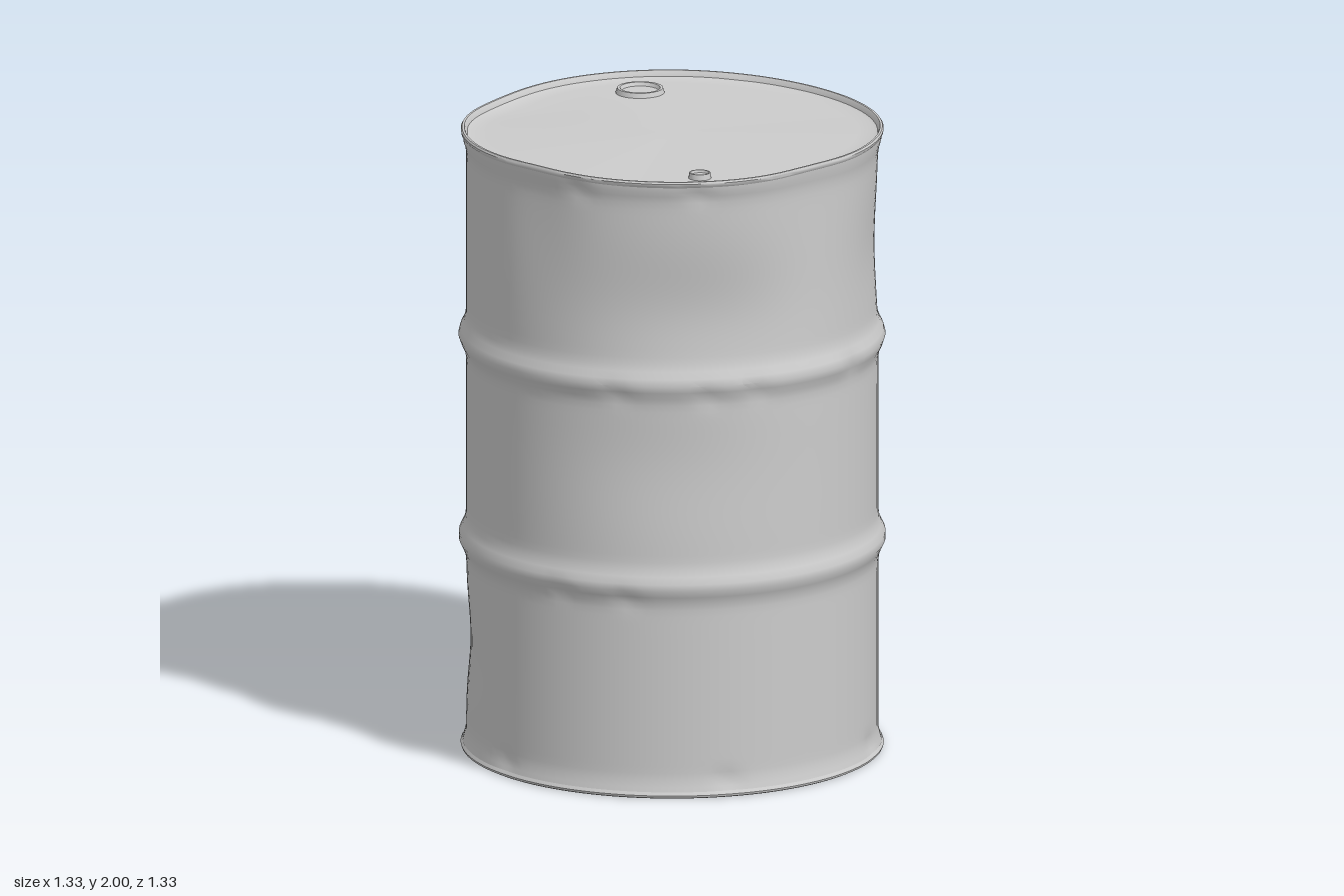
import * as THREE from 'three';
import { toCreasedNormals } from 'three/addons/utils/BufferGeometryUtils.js';

const steel = new THREE.MeshStandardMaterial({ color: 0xcccccc });

// Wall dents: angle (0 = front, positive to +x), height, angular width, vertical width, depth
const dents = [
  [0.2, 1.54, 0.55, 0.2, 0.032],
  [0.05, 1.08, 0.5, 0.22, 0.018],
  [1.5, 1.62, 0.35, 0.2, 0.016],
  [-1.65, 0.36, 0.4, 0.14, 0.018],
  [-0.65, 1.92, 0.22, 0.3, 0.016],
  [0.8, 1.92, 0.22, 0.35, 0.018],
  [2.4, 1.6, 0.4, 0.2, 0.008],
];
// Small nicks along the ribs and the lower edge
const nicks = [
  [-0.5, 0.65], [-0.15, 0.64], [0.25, 1.29], [0.5, 1.3], [-0.2, 1.3], [1.1, 1.32],
  [-0.85, 0.05], [0.35, 0.05], [1.35, 0.05], [1.75, 0.05], [2.6, 0.05], [-2.3, 0.05],
  [-0.4, 1.95], [0.2, 1.95], [2.9, 1.95], [-1.5, 1.95],
];
nicks.forEach(([a, y]) => dents.push([a, y, 0.06, 0.03, 0.008]));

const bump = (d, w) => Math.exp(-(d * d) / (w * w));

function dentDepth(angle, y) {
  let depth = 0;
  for (const [a, h, aw, hw, amount] of dents) {
    const da = Math.atan2(Math.sin(angle - a), Math.cos(angle - a));
    depth += amount * bump(da, aw) * bump(y - h, hw);
  }
  return depth;
}

// Presses the dents into the wall and buckles the lid
function batter(geometry) {
  const p = geometry.attributes.position;
  for (let i = 0; i < p.count; i++) {
    const x = p.getX(i), y = p.getY(i), z = p.getZ(i);
    const r = Math.hypot(x, z);
    if (r < 1e-5) continue;
    const angle = Math.atan2(x, z);
    const k = 1 - (dentDepth(angle, y) / 0.65) * Math.pow(r / 0.65, 3);
    let newY = y;
    if (y > 1.95) {
      newY -= 0.012 * bump(Math.hypot(x + 0.48, z + 0.25), 0.16);
      newY -= 0.004 * (1 + Math.sin(3 * angle + 1)) * r / 0.65;
    }
    p.setXYZ(i, x * k, newY, z * k);
  }
  return toCreasedNormals(geometry, 0.7);
}

function lathe(name, points, segments, material = steel) {
  const geo = new THREE.LatheGeometry(points.map(([r, y]) => new THREE.Vector2(r, y)), segments);
  const mesh = new THREE.Mesh(geo, material);
  mesh.name = name;
  return mesh;
}

// Wall radius at a height: two rolled ribs and flared ends
function wallRadius(y) {
  const rib = (h) => 0.024 * bump(y - h, 0.038);
  return 0.643 + rib(0.68) + rib(1.33) + 0.012 * (bump(y - 0.01, 0.03) + bump(y - 1.98, 0.04));
}

// Threaded plug: raised collar around a sunken cap
function makeBung(name, x, z, radius, height) {
  const bung = lathe(name, [
    [radius * 1.15, -0.012], [radius * 1.03, height], [radius * 0.9, height],
    [radius * 0.82, height * 0.3], [0, height * 0.3],
  ], 20);
  bung.geometry = toCreasedNormals(bung.geometry, 0.6);
  bung.position.set(x, 1.977, z);
  return bung;
}

export function createModel() {
  const group = new THREE.Group();
  group.name = 'steelDrum';

  // Wall
  const wall = [];
  for (let i = 0; i <= 90; i++) {
    const y = 0.012 + (i / 90) * 1.974;
    wall.push([wallRadius(y), y]);
  }
  const body = lathe('body', wall, 120);

  // Lid with its rolled rim
  const lid = lathe('lid', [
    [0.654, 1.98], [0.659, 1.986], [0.66, 1.994], [0.656, 2], [0.649, 2], [0.645, 1.994],
    [0.641, 1.982], [0.63, 1.978], [0.58, 1.978], [0.5, 1.978], [0.4, 1.978],
    [0.3, 1.978], [0.2, 1.978], [0.1, 1.978], [0, 1.978],
  ], 120);

  // Base with its rolled rim
  const base = lathe('base', [
    [0, 0.012], [0.3, 0.012], [0.62, 0.012], [0.642, 0.01], [0.646, 0.002],
    [0.652, 0], [0.658, 0.003], [0.66, 0.01], [0.654, 0.02],
  ], 120);

  for (const part of [body, lid, base]) {
    part.geometry = batter(part.geometry);
    group.add(part);
  }

  // Filling plug at the back, vent plug at the front
  group.add(makeBung('largeBung', -0.135, -0.46, 0.07, 0.016));
  group.add(makeBung('smallBung', 0.125, 0.515, 0.032, 0.012));
  return group;
}
